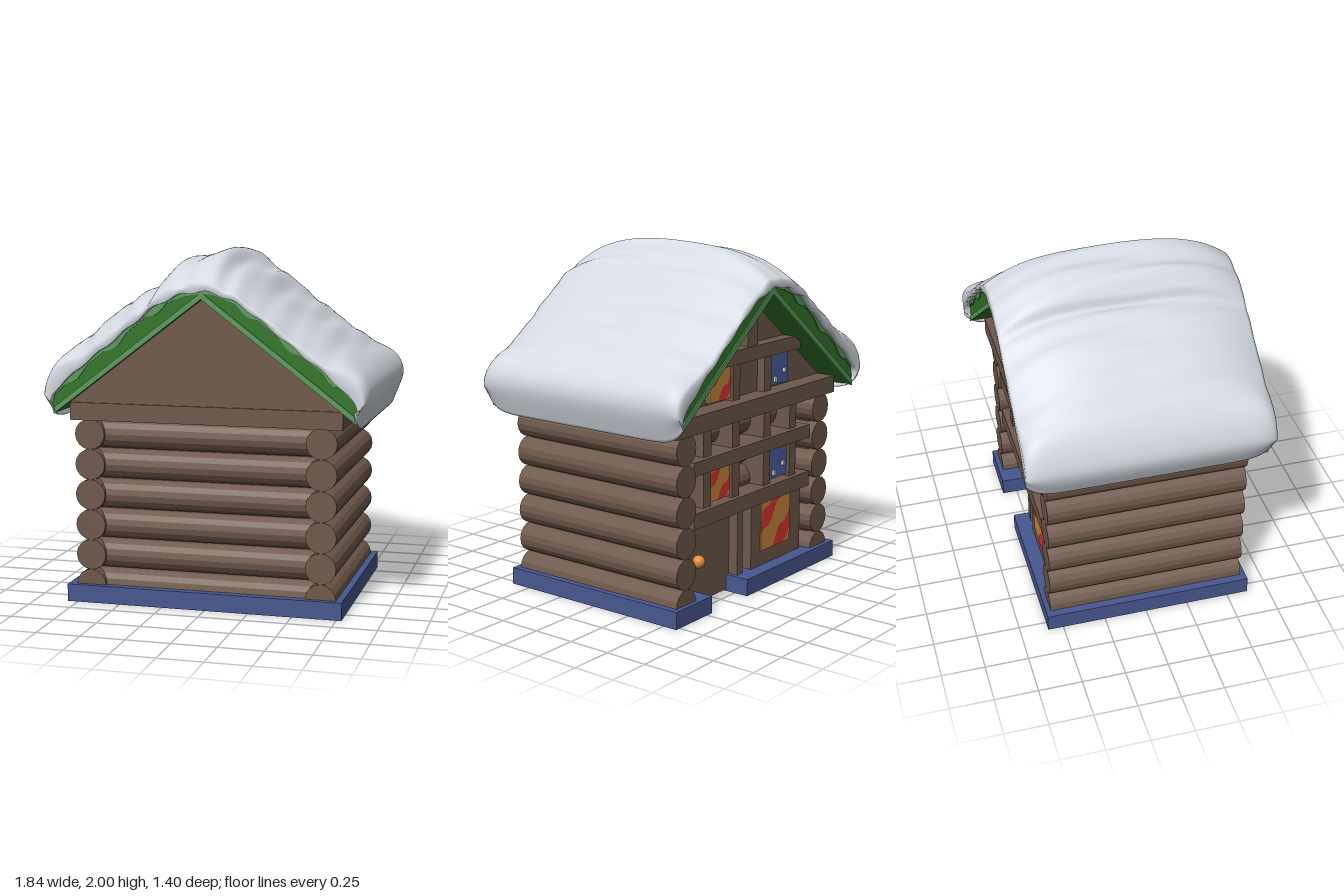
import * as THREE from 'three';

const mat = (name, color, extra = {}) => {
  const m = new THREE.MeshStandardMaterial({ color, ...extra });
  m.name = name;
  return m;
};
const V = (p) => p.map(([x, y]) => new THREE.Vector2(x, y));
const clamp = THREE.MathUtils.clamp;

export function createModel() {
  const wood = mat('wood brown', 0x6f594b, { flatShading: true });
  const blue = mat('base blue', 0x485890);
  const shutterBlue = mat('shutter blue', 0x4c60a0);
  const green = mat('roof green', 0x327628);
  const trim = mat('trim green', 0x5c9a5c);
  const snow = mat('snow', 0xd5dae2, { side: THREE.DoubleSide });
  const orange = mat('glow orange', 0xc8873a);
  const red = mat('glow red', 0xdc3434);
  const knobMat = mat('knob orange', 0xe08a3c);
  const navy = mat('dark navy', 0x1c2340);

  const root = new THREE.Group();
  const add = (name, geo, m, x = 0, y = 0, z = 0, parent = root) => {
    const mesh = new THREE.Mesh(geo, m);
    mesh.name = name;
    mesh.position.set(x, y, z);
    parent.add(mesh);
    return mesh;
  };
  // box given by its limits
  const box = (name, m, x0, x1, y0, y1, z0, z1) =>
    add(name, new THREE.BoxGeometry(x1 - x0, y1 - y0, z1 - z0), m, (x0 + x1) / 2, (y0 + y1) / 2, (z0 + z1) / 2);
  const extrude = (name, pts, m, z, depth) =>
    add(name, new THREE.ExtrudeGeometry(new THREE.Shape(V(pts)), { depth, bevelEnabled: false }), m, 0, 0, z);

  // Base slab: the doorway notch runs into the opening underneath
  const baseShape = new THREE.Shape(V([[-0.81, -0.625], [0.78, -0.625], [0.78, 0.59], [0.455, 0.59],
    [0.455, 0.25], [0.51, 0.25], [0.51, -0.31], [-0.56, -0.31], [-0.56, 0.25], [0.115, 0.25],
    [0.115, 0.59], [-0.81, 0.59]]));
  add('base', new THREE.ExtrudeGeometry(baseShape, { depth: 0.1, bevelEnabled: false }), blue).rotation.x = -Math.PI / 2;
  box('floor', wood, -0.56, 0.51, 0.03, 0.1, -0.25, 0.31);
  box('doorSill', wood, 0.115, 0.455, 0.03, 0.1, -0.4, -0.25);

  // Glowing pane with wavy diagonal stripes, facing local +z
  const pane = (name, w, h, x, y, z, stripes, fill = 0.4) => {
    const g = new THREE.Group();
    g.name = name;
    g.position.set(x, y, z);
    root.add(g);
    add('glass', new THREE.BoxGeometry(w, h, 0.008), orange, 0, 0, 0, g);
    for (let s = 0; s < stripes; s++) {
      const off = (s + 0.5) / stripes * 2 - 1;
      const edge = (u, d) => [(u - 0.5) * w,
        (clamp(u + off + d + 0.07 * Math.sin(u * 13 + s), 0, 1) - 0.5) * h];
      const pos = [], N = 40, t = fill / stripes;
      for (let i = 0; i < N; i++) {
        const [a, b, c, d] = [edge(i / N, -t), edge((i + 1) / N, -t), edge((i + 1) / N, t), edge(i / N, t)];
        for (const p of [a, b, c, a, c, d]) pos.push(p[0], p[1], 0.0065);
      }
      const geo = new THREE.BufferGeometry();
      geo.setAttribute('position', new THREE.Float32BufferAttribute(pos, 3));
      geo.computeVertexNormals();
      add('stripe', geo, red, 0, 0, 0, g);
    }
    return g;
  };

  // Lattice with rounded openings over glowing panes in the underside
  pane('floorGlow', 1.07, 0.56, -0.025, 0.025, 0.03, 4, 0.5).rotation.x = Math.PI / 2;
  pane('sillGlow', 0.34, 0.15, 0.285, 0.025, -0.325, 2, 0.5).rotation.x = Math.PI / 2;
  const lattice = new THREE.Shape(V([[-0.56, -0.31], [0.51, -0.31], [0.51, 0.25], [0.455, 0.25],
    [0.455, 0.4], [0.115, 0.4], [0.115, 0.25], [-0.56, 0.25]]));
  const roundHole = (x, y, w, h, r = 0.035) => {
    const p = new THREE.Path();
    p.absarc(x + w / 2 - r, y + h / 2 - r, r, 0, Math.PI / 2);
    p.absarc(x - w / 2 + r, y + h / 2 - r, r, Math.PI / 2, Math.PI);
    p.absarc(x - w / 2 + r, y - h / 2 + r, r, Math.PI, Math.PI * 1.5);
    p.absarc(x + w / 2 - r, y - h / 2 + r, r, Math.PI * 1.5, Math.PI * 2);
    lattice.holes.push(p);
  };
  for (let i = 0; i < 4; i++) {
    for (let j = 0; j < 3; j++) roundHole(-0.426 + i * 0.267, -0.217 + j * 0.187, 0.235, 0.155);
  }
  for (const x of [0.2, 0.37]) roundHole(x, 0.325, 0.14, 0.12);
  add('floorLattice', new THREE.ExtrudeGeometry(lattice, { depth: 0.012, bevelEnabled: false, curveSegments: 4 }),
    navy, 0, 0.005, 0).rotation.x = -Math.PI / 2;

  // Log walls, with thin boards closing the joints
  const R = 0.0875;
  const sideLog = new THREE.CylinderGeometry(R, R, 1.156, 16).rotateX(Math.PI / 2);
  const crossLog = new THREE.CylinderGeometry(R, R, 1.33, 16).rotateZ(Math.PI / 2);
  for (let i = 0; i < 6; i++) {
    const y = 0.1 + i * 0.1735;
    add('sideLog', sideLog, wood, -0.675, y, 0.016);
    add('sideLog', sideLog, wood, 0.655, y, 0.016);
    add('frontLog', crossLog, wood, -0.01, y, 0.49);
    add('backLog', crossLog, wood, -0.01, y, -0.34);
  }
  box('frontBoard', wood, -0.67, 0.65, 0.1, 1.06, 0.45, 0.5);
  box('backBoard', wood, -0.67, 0.65, 0.1, 1.06, -0.37, -0.32);
  box('rightBoard', wood, -0.69, -0.65, 0.1, 1.06, -0.5, 0.55);
  box('leftBoard', wood, 0.63, 0.67, 0.1, 1.06, -0.5, 0.55);

  // Eaves beam and gables
  box('eavesBeam', wood, -0.78, 0.775, 1.05, 1.15, -0.59, 0.62);
  const gable = [[-0.78, 1.14], [0.78, 1.14], [0.78, 1.165], [0, 1.765], [-0.78, 1.165]];
  extrude('frontGable', gable, wood, 0.5, 0.11);
  extrude('backGable', gable, wood, -0.47, 0.1);

  // Back facade: beams, posts, door, windows and shutters
  box('lintelBeam', wood, -0.58, 0.57, 0.5, 0.59, -0.55, -0.36);
  box('middleBeam', wood, -0.58, 0.57, 0.8, 0.88, -0.55, -0.36);
  box('gableBeam', wood, -0.46, 0.46, 1.36, 1.44, -0.55, -0.4);
  for (const x of [0.41, 0.14, -0.17, -0.44]) {
    box('post', wood, x - 0.035, x + 0.035, 0.59, 1.05, -0.52, -0.36);
    if (Math.abs(x) < 0.4) box('gablePost', wood, x - 0.035, x + 0.035, 1.15, 1.36, -0.52, -0.4);
  }
  box('ridgePost', wood, -0.05, 0.05, 1.44, 1.7, -0.53, -0.4);
  for (const y of [0.7, 1.263]) {
    pane('window', 0.19, 0.195, 0.272, y, -0.5, 2).rotation.y = Math.PI;
    box('windowBacking', wood, 0.177, 0.367, y - 0.1, y + 0.1, -0.497, -0.38);
    box('shutter', shutterBlue, -0.4, -0.215, y - 0.095, y + 0.095, -0.505, -0.38);
    box('shutterHandle', snow, -0.27, -0.25, y - 0.075, y - 0.045, -0.52, -0.5);
    box('shutterHandle', snow, -0.365, -0.345, y - 0.03, y - 0.005, -0.52, -0.5);
  }
  box('door', wood, 0.09, 0.47, 0.01, 0.5, -0.44, -0.4);
  add('doorKnob', new THREE.SphereGeometry(0.038, 20, 14), knobMat, 0.408, 0.26, -0.46);
  box('doorPost', wood, 0.035, 0.09, 0.1, 0.5, -0.5, -0.36);
  box('windowFrame', wood, -0.555, -0.04, 0.1, 0.5, -0.505, -0.36);
  pane('largeWindow', 0.3, 0.3, -0.285, 0.34, -0.508, 2).rotation.y = Math.PI;

  // Roof panels below the snow
  const under = [[-0.85, 1.07], [-0.865, 1.14], [-0.845, 1.22], [-0.68, 1.37], [-0.5, 1.51], [-0.36, 1.625],
    [-0.31, 1.665], [-0.265, 1.7], [-0.2, 1.735], [-0.1, 1.775], [0, 1.79], [0.07, 1.785], [0.13, 1.765],
    [0.22, 1.725], [0.34, 1.64], [0.53, 1.49], [0.7, 1.36], [0.845, 1.22], [0.865, 1.14], [0.85, 1.07]];
  const over = [[-0.865, 1.065], [-0.92, 1.22], [-0.85, 1.4], [-0.7, 1.56], [-0.5, 1.72], [-0.37, 1.785],
    [-0.29, 1.81], [-0.26, 1.88], [-0.19, 1.945], [-0.09, 1.965], [0, 1.993], [0.07, 1.985], [0.13, 1.925],
    [0.23, 1.86], [0.36, 1.745], [0.55, 1.61], [0.74, 1.47], [0.88, 1.35], [0.92, 1.23], [0.865, 1.055]];
  const eaves = under.slice(2, 18);
  extrude('roofPanel', [[-0.86, 1.09], [0, 1.745], [0.86, 1.09], [0.87, 1.14], ...eaves.slice().reverse(),
    [-0.87, 1.14]], green, -0.66, 1.32);

  // Pale trim along both edges of each roof end
  const eavesCurve = new THREE.SplineCurve(V(eaves)).getPoints(90).map((p) => [p.x, p.y]);
  const scallop = eavesCurve.map(([x, y]) => {
    const bump = Math.abs(x) > 0.2 && Math.abs(x) < 0.75 ? Math.max(0, Math.sin(Math.abs(x) * 27 + 1)) : 0;
    return [x, y - 0.02 - 0.03 * bump];
  });
  for (const z of [0.66, -0.668]) {
    extrude('lowerTrim', [[-0.86, 1.088], [0, 1.743], [0.86, 1.088], [0.86, 1.124], [0, 1.78], [-0.86, 1.124]], trim, z, 0.008);
    extrude('upperTrim', [...scallop, ...eavesCurve.slice().reverse()], trim, z, 0.007);
  }

  // Snow blanket: closed sections lofted along the ridge
  const n = 134, rows = 48;
  const outer = new THREE.SplineCurve(V(over)).getPoints(n - 1);
  const inner = new THREE.SplineCurve(V(under)).getPoints(n - 1);
  const pos = [], idx = [];
  for (let i = 0; i <= rows; i++) {
    const s = -Math.cos((i / rows) * Math.PI);
    const z = 0.7 * (0.5 * s + 0.5 * (i / rows * 2 - 1));
    const t = Math.abs(z) / 0.7;
    const lift = (y) => 0.08 * t ** 12 * clamp((1.25 - y) / 0.15, 0, 1);
    for (let k = 0; k < n; k++) {
      const o = outer[k], q = inner[k];
      const lip = THREE.MathUtils.smoothstep(Math.abs(o.x), 0.65, 0.9);
      const h = THREE.MathUtils.lerp(0.2 + 0.8 * (1 - t ** 3.4), 1 - 0.4 * t ** 18, lip);
      const fold = (Math.sin(o.x * 31 + 1.6 * Math.sin(z * 3.1)) + 0.7 * Math.sin(o.x * 53 - z * 4)) *
        0.008 * (1 - lip) * (1 - 0.5 * t);
      pos.push(q.x + (o.x - q.x) * h, q.y + (o.y - q.y) * h + fold - 0.004 + lift(o.y), z);
    }
    for (let k = n - 1; k >= 0; k--) {
      const q = inner[k];
      pos.push(q.x, q.y - 0.006 + 0.006 * t * Math.sin(q.x * 40) + lift(outer[k].y), z);
    }
  }
  const ring = 2 * n;
  for (let i = 0; i < rows; i++) {
    for (let j = 0; j < ring; j++) {
      const a = i * ring + j, b = i * ring + (j + 1) % ring;
      idx.push(a, a + ring, b + ring, a, b + ring, b);
    }
  }
  for (const end of [0, rows]) {
    for (let k = 0; k < n - 1; k++) {
      const e = end * ring, o0 = e + k, o1 = o0 + 1, i0 = e + ring - 1 - k, i1 = i0 - 1;
      if (end) idx.push(i0, i1, o1, i0, o1, o0);
      else idx.push(i0, o1, i1, i0, o0, o1);
    }
  }
  const snowGeo = new THREE.BufferGeometry();
  snowGeo.setAttribute('position', new THREE.Float32BufferAttribute(pos, 3));
  snowGeo.setIndex(idx);
  snowGeo.computeVertexNormals();
  add('snowBlanket', snowGeo, snow);

  return root;
}
